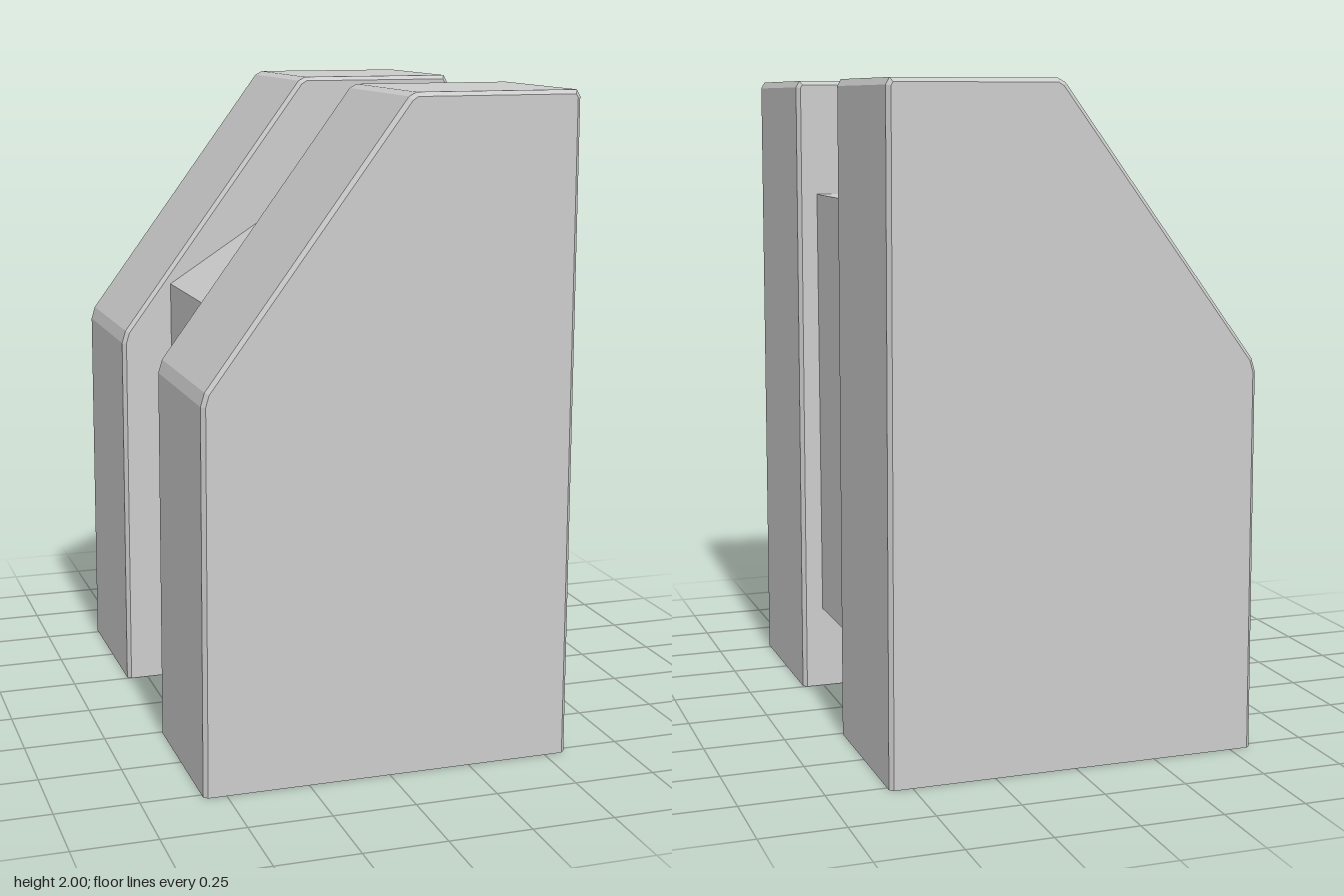
import * as THREE from 'three';

const material = new THREE.MeshStandardMaterial({
  color: 0xcccccc, flatShading: true, side: THREE.DoubleSide,
});

// Skin a stack of open outlines (counter-clockwise, bottom left open) along z.
// Each ring is { z, points }; the convex end outlines can be capped.
function skin(rings, capped) {
  const positions = [];
  const tri = (...corners) => corners.forEach((c) => positions.push(...c));
  const loops = rings.map(({ z, points }) => points.map(([x, y]) => [x, y, z]));
  for (let k = 0; k < loops.length - 1; k++) {
    const near = loops[k], far = loops[k + 1];
    for (let i = 0; i < near.length - 1; i++) {
      tri(near[i], near[i + 1], far[i + 1]);
      tri(near[i], far[i + 1], far[i]);
    }
  }
  if (capped) {
    const first = loops[0], last = loops[loops.length - 1];
    for (let i = 1; i < first.length - 1; i++) {
      tri(first[0], first[i + 1], first[i]);
      tri(last[0], last[i], last[i + 1]);
    }
  }
  const geometry = new THREE.BufferGeometry();
  geometry.setAttribute('position', new THREE.Float32BufferAttribute(positions, 3));
  geometry.computeVertexNormals();
  return geometry;
}

export function createModel() {
  const model = new THREE.Group();
  model.name = 'twinSlabBlock';

  // Slab outline with softened corners, and its inset for the chamfered faces
  const outline = [
    [0.568, 0], [0.561, 1.98], [0.55, 2], [0.065, 2], [0.042, 1.988],
    [-0.55, 1.19], [-0.562, 1.15], [-0.568, 0],
  ];
  const inset = [
    [0.556, 0], [0.549, 1.978], [0.543, 1.988], [0.066, 1.988], [0.05, 1.978],
    [-0.54, 1.184], [-0.55, 1.15], [-0.556, 0],
  ];
  const inner = 0.247, outer = 0.78, bevel = 0.012;
  const slabGeometry = skin([
    { z: inner, points: inset },
    { z: inner + bevel, points: outline },
    { z: outer - bevel, points: outline },
    { z: outer, points: inset },
  ], true);

  // Front and back slabs, hollow and open underneath
  for (const [name, z] of [['frontSlab', 0], ['backSlab', -(inner + outer)]]) {
    const slab = new THREE.Mesh(slabGeometry, material);
    slab.name = name;
    slab.position.z = z;
    model.add(slab);
  }

  // Connecting core, an open sleeve that runs a little way into both slabs
  const coreOutline = [[0.5, 0.265], [0.5, 1.64], [0.066, 1.64], [-0.4, 1.34], [-0.4, 0.265]];
  const core = new THREE.Mesh(
    skin([{ z: -0.33, points: coreOutline }, { z: 0.33, points: coreOutline }], false),
    material,
  );
  core.name = 'connectingCore';
  model.add(core);

  return model;
}
